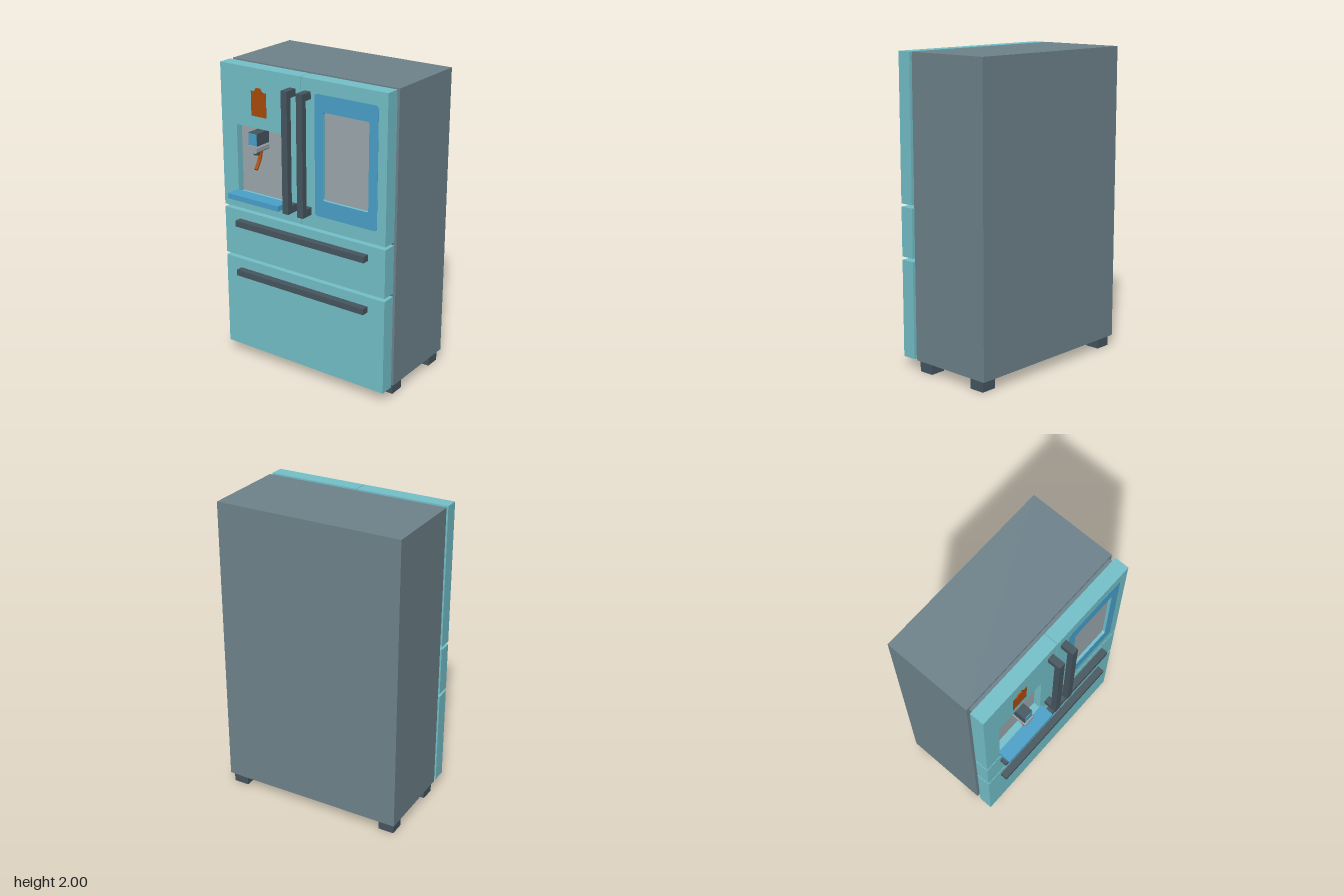
import * as THREE from 'three';

const mat = (name, color) => {
  const m = new THREE.MeshStandardMaterial({ color });
  m.name = name;
  return m;
};

export function createModel() {
  const root = new THREE.Group();
  root.name = 'refrigerator';
  const teal = mat('teal door', 0x74c1ca);
  const grey = mat('slate cabinet', 0x6e838c);
  const dark = mat('charcoal', 0x46565f);
  const blue = mat('blue trim', 0x4aa1cb);
  const pale = mat('pale grey panel', 0x9ca8ae);
  const orange = mat('burnt orange', 0xa94c0c);

  const add = (name, geometry, material, parent = root) => {
    const m = new THREE.Mesh(geometry, material);
    m.name = name;
    parent.add(m);
    return m;
  };
  // Box given by its limits on each axis
  const box = (name, material, [x0, x1], [y0, y1], [z0, z1], parent) => {
    const g = new THREE.BoxGeometry(x1 - x0, y1 - y0, z1 - z0);
    g.translate((x0 + x1) / 2, (y0 + y1) / 2, (z0 + z1) / 2);
    return add(name, g, material, parent);
  };
  // Rectangle outline with rounded corners
  const rect = (x0, x1, y0, y1, r = 0, Type = THREE.Shape) => {
    const s = new Type();
    if (!r) {
      s.moveTo(x0, y0).lineTo(x1, y0).lineTo(x1, y1).lineTo(x0, y1).closePath();
      return s;
    }
    s.absarc(x1 - r, y0 + r, r, -Math.PI / 2, 0);
    s.absarc(x1 - r, y1 - r, r, 0, Math.PI / 2);
    s.absarc(x0 + r, y1 - r, r, Math.PI / 2, Math.PI);
    s.absarc(x0 + r, y0 + r, r, Math.PI, Math.PI * 1.5);
    s.closePath();
    return s;
  };
  const slab = (name, material, shape, z0, z1, parent) => {
    const g = new THREE.ExtrudeGeometry(shape, { depth: z1 - z0, bevelEnabled: false, curveSegments: 5 });
    g.translate(0, 0, z0);
    return add(name, g, material, parent);
  };

  const W = 0.617, back = 0.21, face = 0.305;

  // Cabinet, gasket and feet
  box('cabinet', grey, [-W, W], [0.072, 2], [-0.4, 0.184]);
  box('gasket', grey, [-0.597, 0.597], [0.092, 1.98], [0.184, back]);
  for (const x of [-0.55, 0.55]) for (const z of [-0.325, 0.118])
    box('foot', dark, [x - 0.052, x + 0.052], [0, 0.072], [z - 0.051, z + 0.051]);

  // Upper doors: a back slab with a pierced front slab, so the opening is a recess
  const door = (name, x0, x1, hole, depth) => {
    const g = new THREE.Group();
    g.name = name;
    root.add(g);
    const [a, b, c, d, r] = hole;
    const floor = face - depth;
    box('doorBack', teal, [x0, x1], [1.063, 2], [back, floor], g);
    const shape = rect(x0, x1, 1.063, 2);
    shape.holes.push(rect(a, b, c, d, r, THREE.Path));
    slab('doorFront', teal, shape, floor, face, g);
    slab('recessPanel', pale, rect(a, b, c, d, r), floor, floor + 0.002, g);
    return g;
  };
  const dispenserDoor = door('dispenserDoor', -W, -0.002, [-0.498, -0.125, 1.17, 1.62, 0], 0.05);
  const windowHole = [0.165, 0.493, 1.255, 1.81, 0.012];
  const windowDoor = door('windowDoor', 0.002, W, windowHole, 0.02);

  // Blue window surround
  const frame = rect(0.105, 0.555, 1.148, 1.916, 0.02);
  frame.holes.push(rect(...windowHole, THREE.Path));
  slab('windowSurround', blue, frame, face, face + 0.002, windowDoor);

  // Drawers with bar handles
  for (const [y0, y1, h] of [[0.725, 1.043, 0.965], [0.072, 0.704, 0.62]]) {
    box('drawer', teal, [-W, W], [y0, y1], [back, face]);
    box('drawerHandle', dark, [-0.497, 0.495], [h - 0.02, h + 0.02], [face, 0.352]);
  }

  // Upright door handles on two posts
  for (const x of [-0.057, 0.055]) {
    const g = new THREE.Group();
    g.name = 'doorHandle';
    root.add(g);
    const xs = [x - 0.022, x + 0.022];
    box('handleBar', dark, xs, [1.145, 1.922], [0.355, 0.393], g);
    box('handleTopPost', dark, xs, [1.876, 1.922], [face, 0.355], g);
    box('handleBottomPost', dark, xs, [1.145, 1.194], [face, 0.355], g);
  }

  // Dispenser: tray, housing, collar, nozzle and curved lever
  const cx = -0.317;
  const span = (w) => [cx - w, cx + w];
  box('dripTray', blue, [-0.511, -0.11], [1.15, 1.185], [face, 0.397], dispenserDoor);
  box('dispenserHousing', dark, span(0.034), [1.53, 1.61], [0.255, 0.372], dispenserDoor);
  box('dispenserDisplay', blue, span(0.031), [1.532, 1.607], [0.372, 0.375], dispenserDoor);
  const collar = new THREE.Shape();
  collar.moveTo(cx - 0.028, 1.485).lineTo(cx + 0.028, 1.485).lineTo(cx + 0.038, 1.495)
    .lineTo(cx + 0.038, 1.52).lineTo(cx + 0.033, 1.53).lineTo(cx - 0.033, 1.53)
    .lineTo(cx - 0.038, 1.52).lineTo(cx - 0.038, 1.495).closePath();
  slab('dispenserCollar', pale, collar, 0.255, 0.383, dispenserDoor);
  const nozzle = new THREE.CylinderGeometry(0.023, 0.018, 0.022, 10);
  nozzle.translate(cx, 1.474, 0.338);
  add('nozzle', nozzle, dark, dispenserDoor);
  const lever = new THREE.Shape();
  lever.moveTo(0.29, 1.487).quadraticCurveTo(0.296, 1.42, 0.346, 1.364).lineTo(0.352, 1.372)
    .quadraticCurveTo(0.306, 1.425, 0.302, 1.487).closePath();
  const leverGeo = new THREE.ExtrudeGeometry(lever, { depth: 0.024, bevelEnabled: false, curveSegments: 6 });
  leverGeo.rotateY(-Math.PI / 2).translate(cx + 0.012, 0, 0);
  add('lever', leverGeo, orange, dispenserDoor);

  // Note board with a raised clip
  slab('noteBoard', orange, rect(-0.376, -0.26, 1.697, 1.854), face, face + 0.003, dispenserDoor);
  const clip = new THREE.Shape();
  clip.moveTo(-0.348, 1.835).lineTo(-0.288, 1.835).lineTo(-0.288, 1.856).lineTo(-0.303, 1.878)
    .lineTo(-0.333, 1.878).lineTo(-0.348, 1.856).closePath();
  slab('noteClip', orange, clip, face, face + 0.008, dispenserDoor);

  return root;
}
